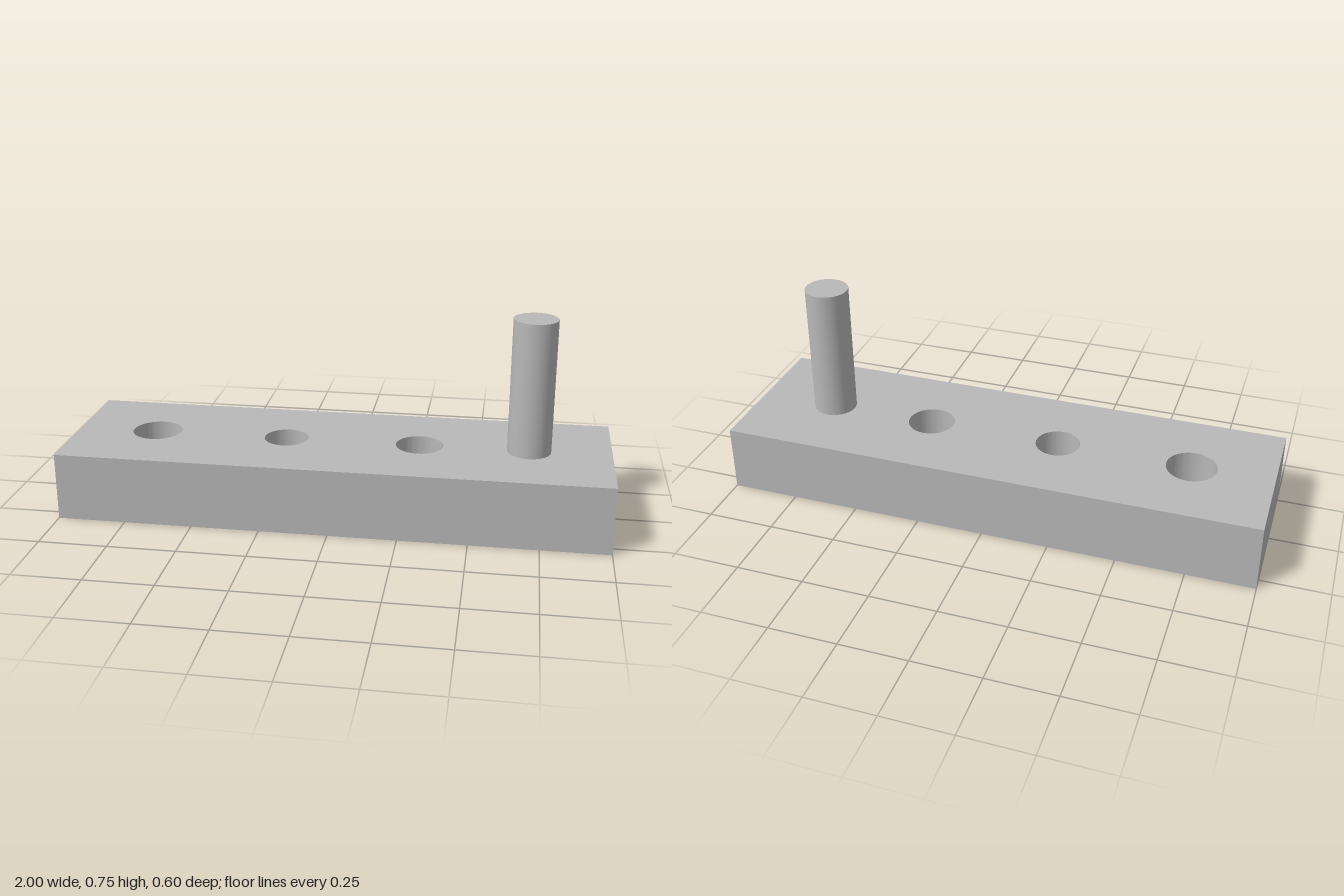
import * as THREE from 'three';
import { toCreasedNormals } from 'three/addons/utils/BufferGeometryUtils.js';

export function createModel() {
  const group = new THREE.Group();
  const grey = new THREE.MeshStandardMaterial({ color: 0xb8b8b8 });
  grey.name = 'grey';

  const length = 2, width = 0.6, thickness = 0.25;

  // Rectangular block with three through holes of slightly different sizes
  const outline = new THREE.Shape([
    new THREE.Vector2(-length / 2, -width / 2),
    new THREE.Vector2(length / 2, -width / 2),
    new THREE.Vector2(length / 2, width / 2),
    new THREE.Vector2(-length / 2, width / 2),
  ]);
  const holes = [[-0.7, 0.0925], [-0.2, 0.0825], [0.3, 0.0875]];
  for (const [x, radius] of holes) {
    outline.holes.push(new THREE.Path().absarc(x, 0, radius, 0, Math.PI * 2, true));
  }
  const blockGeometry = new THREE.ExtrudeGeometry(outline, {
    depth: thickness, bevelEnabled: false, curveSegments: 64,
  });
  blockGeometry.rotateX(-Math.PI / 2);
  const block = new THREE.Mesh(toCreasedNormals(blockGeometry, Math.PI / 6), grey);
  block.name = 'block';
  group.add(block);

  // Upright pin standing on the block
  const pinHeight = 0.5;
  const pin = new THREE.Mesh(new THREE.CylinderGeometry(0.08, 0.08, pinHeight, 64), grey);
  pin.name = 'pin';
  pin.position.set(0.7, thickness + pinHeight / 2, 0);
  group.add(pin);

  return group;
}
